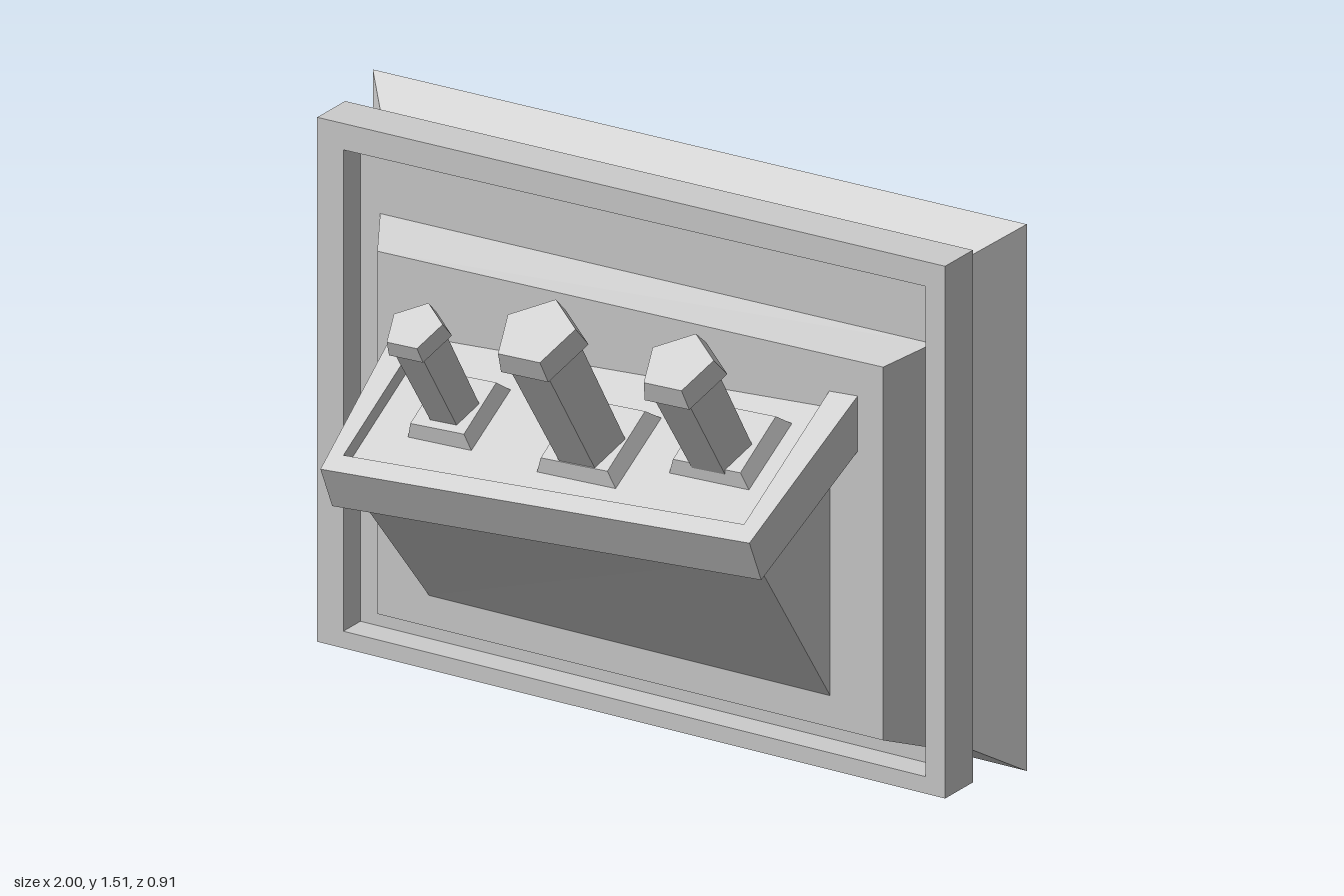
import * as THREE from 'three';

const grey = new THREE.MeshStandardMaterial({ color: 0xcccccc, flatShading: true, side: THREE.DoubleSide });

// Skin a chain of four-cornered rings, closing the far end and optionally the near one
function loft(name, rings, capStart, capEnd) {
  const pos = [];
  const quad = (a, b, c, d) => pos.push(...a, ...b, ...c, ...a, ...c, ...d);
  for (let r = 0; r + 1 < rings.length; r++) {
    const a = rings[r], b = rings[r + 1];
    for (let i = 0; i < 4; i++) {
      const j = (i + 1) % 4;
      quad(a[i], a[j], b[j], b[i]);
    }
  }
  if (capStart) quad(...[...rings[0]].reverse());
  if (capEnd) quad(...rings[rings.length - 1]);
  const geo = new THREE.BufferGeometry();
  geo.setAttribute('position', new THREE.Float32BufferAttribute(pos, 3));
  geo.computeVertexNormals();
  const mesh = new THREE.Mesh(geo, grey);
  mesh.name = name;
  return mesh;
}

// Upright rectangle at depth z, with a slightly sloping top edge
const rect = (x0, x1, y0, topLeft, topRight, z) =>
  [[x0, y0, z], [x1, y0, z], [x1, topRight, z], [x0, topLeft, z]];

// Height of the sloping console top, lower towards the front and towards -x
const deckY = (x, z) => 0.835 + (0.345 - z) * 0.584 + 0.07 * (x - 0.68);

// Ring on the console: front pair then back pair, dropped below the top
const deckRing = (frontX, backX, zFront, zBack, drop) =>
  [[frontX[0], zFront], [frontX[1], zFront], [backX[1], zBack], [backX[0], zBack]]
    .map(([x, z]) => [x, deckY(x, z) - drop, z]);

const FLOOR_DROP = 0.045;
const TILT = 0.54;

// Five-sided lever with a wider tapered head, standing on a bevelled base
function lever({ x, z, radius, headTop, headBottom, length, base }) {
  const group = new THREE.Group();
  group.name = 'lever';

  const [bx, bz, width, depth] = base;
  const plateGeo = new THREE.CylinderGeometry(0.82 * Math.SQRT1_2, Math.SQRT1_2, 0.05, 4, 1, false, Math.PI / 4);
  plateGeo.scale(width, 1, depth);
  const plate = new THREE.Mesh(plateGeo, grey);
  plate.name = 'leverBase';
  plate.position.set(bx, deckY(bx, bz) - FLOOR_DROP + 0.02, bz);
  plate.rotation.set(TILT, 0, 0.07);
  group.add(plate);

  const stick = new THREE.Group();
  stick.name = 'leverStick';
  stick.position.set(x, deckY(x, z) - FLOOR_DROP + 0.04, z);
  stick.rotation.set(TILT, 0, 0.05);
  const prism = (name, rTop, rBottom, y0, y1) => {
    const geo = new THREE.CylinderGeometry(rTop, rBottom, y1 - y0, 5, 1, false, Math.PI);
    const mesh = new THREE.Mesh(geo, grey);
    mesh.name = name;
    mesh.position.y = (y0 + y1) / 2;
    stick.add(mesh);
  };
  const headHeight = headTop * 0.56;
  prism('leverShaft', radius, radius * 0.92, -0.02, length - headHeight / 2);
  prism('leverHead', headTop, headBottom, length - headHeight, length);
  group.add(stick);
  return group;
}

export function createModel() {
  const model = new THREE.Group();
  model.name = 'leverPanel';

  // Flared skirt behind the frame, open at the back
  const opening = rect(-0.83, 0.83, 0.13, 1.37, 1.39, -0.27);
  model.add(loft('backSkirt', [rect(-1, 1, 0, 1.488, 1.512, -0.46), opening]));

  // Outer frame with its recessed floor
  const plateFoot = rect(-0.82, 0.87, 0.117, 1.213, 1.235, -0.22);
  model.add(loft('frame', [
    opening,
    rect(-0.96, 0.96, 0.025, 1.475, 1.497, -0.27),
    rect(-0.96, 0.96, 0.025, 1.475, 1.497, -0.14),
    rect(-0.88, 0.9, 0.072, 1.403, 1.428, -0.14),
    rect(-0.88, 0.9, 0.072, 1.403, 1.428, -0.22),
    plateFoot,
  ]));

  // Bevelled raised plate, closed behind
  model.add(loft('raisedPlate', [plateFoot, rect(-0.75, 0.797, 0.163, 1.166, 1.195, -0.1)], true, true));

  // Sloping console tray with a raised rim on three sides
  const outerFront = [-0.632, 0.68], outerBack = [-0.677, 0.72], inner = [-0.593, 0.632];
  model.add(loft('consoleTray', [
    deckRing(outerFront, outerBack, 0.29, -0.11, 0.153),
    deckRing(outerFront, outerBack, 0.345, -0.11, 0),
    deckRing(inner, inner, 0.297, -0.11, 0),
    deckRing(inner, inner, 0.283, -0.11, FLOOR_DROP),
  ], true, true));

  // Wedge carrying the tray
  model.add(loft('consoleWedge', [
    [[-0.592, 0.25, -0.1], [0.635, 0.25, -0.1], [0.635, 0.25, -0.11], [-0.592, 0.25, -0.11]],
    deckRing([-0.592, 0.635], [-0.592, 0.635], 0.25, -0.11, 0.14),
  ], true, true));

  // Three levers of different sizes
  [
    { x: -0.373, z: 0.113, radius: 0.076, headTop: 0.08, headBottom: 0.09, length: 0.325, base: [-0.378, 0.097, 0.205, 0.215] },
    { x: 0.068, z: 0.146, radius: 0.103, headTop: 0.111, headBottom: 0.125, length: 0.447, base: [0.062, 0.117, 0.255, 0.25] },
    { x: 0.432, z: 0.1, radius: 0.096, headTop: 0.1, headBottom: 0.118, length: 0.343, base: [0.43, 0.065, 0.258, 0.235] },
  ].forEach((spec) => model.add(lever(spec)));

  return model;
}
